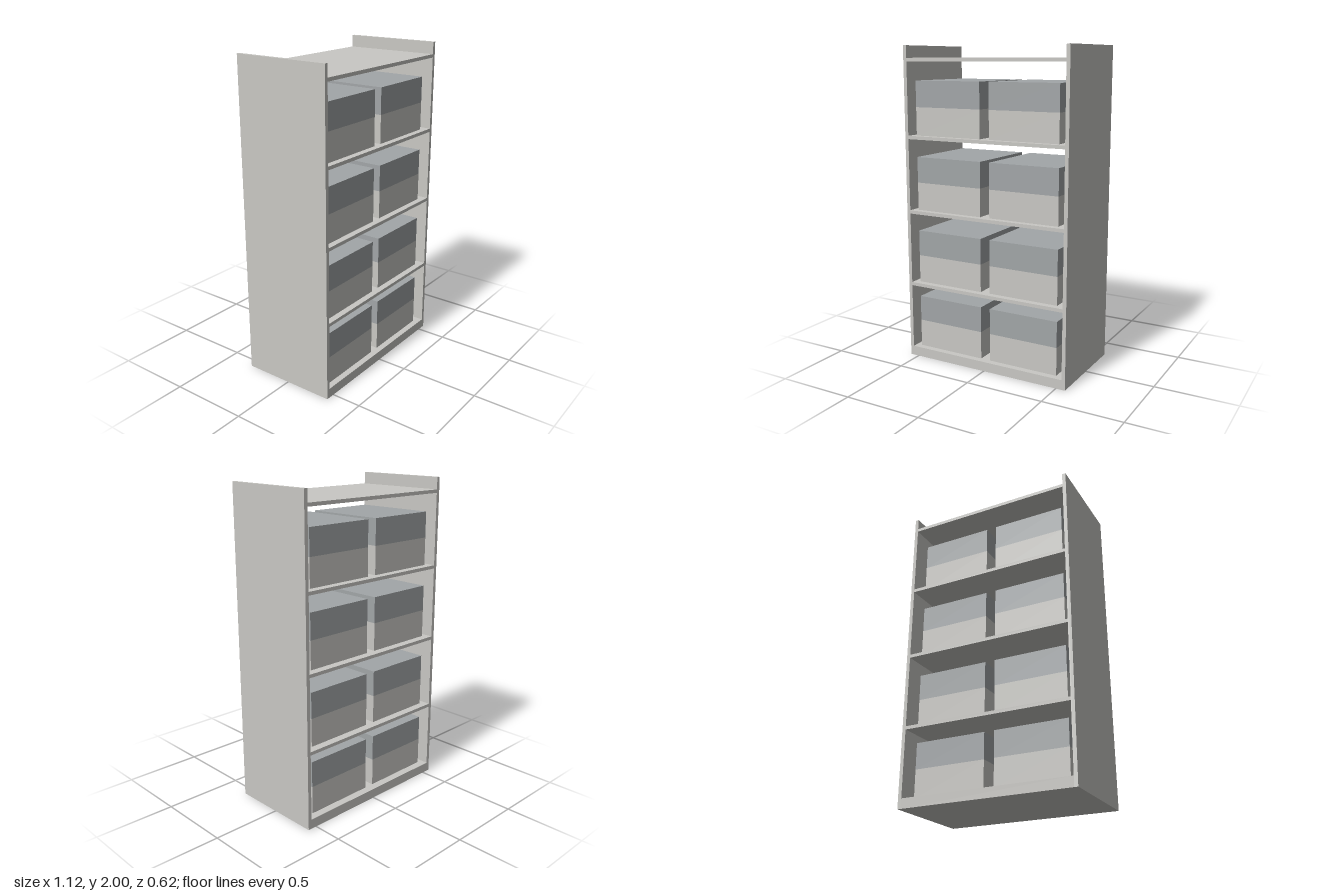
import * as THREE from 'three';

export function createModel() {
  const model = new THREE.Group();
  const paleGrey = new THREE.MeshStandardMaterial({ color: 0xc9c8c4 });
  paleGrey.name = 'pale grey';
  const slateGrey = new THREE.MeshStandardMaterial({ color: 0xa2a6a8 });
  slateGrey.name = 'slate grey';

  const WIDTH = 1.12, DEPTH = 0.62, HEIGHT = 2, PANEL = 0.023;
  const innerWidth = WIDTH - 2 * PANEL;

  // Box given by its centre in x and z and its lowest y
  function block(name, material, w, h, d, x, y, z, parent = model) {
    const mesh = new THREE.Mesh(new THREE.BoxGeometry(w, h, d), material);
    mesh.name = name;
    mesh.position.set(x, y + h / 2, z);
    parent.add(mesh);
  }

  // Side panels
  for (const side of [-1, 1]) {
    block(side > 0 ? 'leftPanel' : 'rightPanel', paleGrey,
      PANEL, HEIGHT, DEPTH, side * (WIDTH - PANEL) / 2, 0, 0);
  }

  // Plinth and shelves
  block('plinth', paleGrey, innerWidth, 0.061, DEPTH, 0, 0, 0);
  const shelfTops = [0.5, 0.975, 1.449, 1.925];
  for (const top of shelfTops) {
    block('shelf', paleGrey, innerWidth, 0.021, DEPTH, 0, top - 0.021, 0);
  }

  // Two storage boxes per level, each with a pale base and a slate upper half
  const boxWidth = 0.46, boxDepth = 0.53, baseHeight = 0.176, lidHeight = 0.163;
  for (const floor of [0.061, ...shelfTops.slice(0, 3)]) {
    for (const x of [-0.271, 0.253]) {
      const box = new THREE.Group();
      box.name = 'storageBox';
      box.position.set(x, floor, 0.005);
      block('boxBase', paleGrey, boxWidth, baseHeight, boxDepth, 0, 0, 0, box);
      block('boxLid', slateGrey, boxWidth, lidHeight, boxDepth, 0, baseHeight, 0, box);
      model.add(box);
    }
  }
  return model;
}
